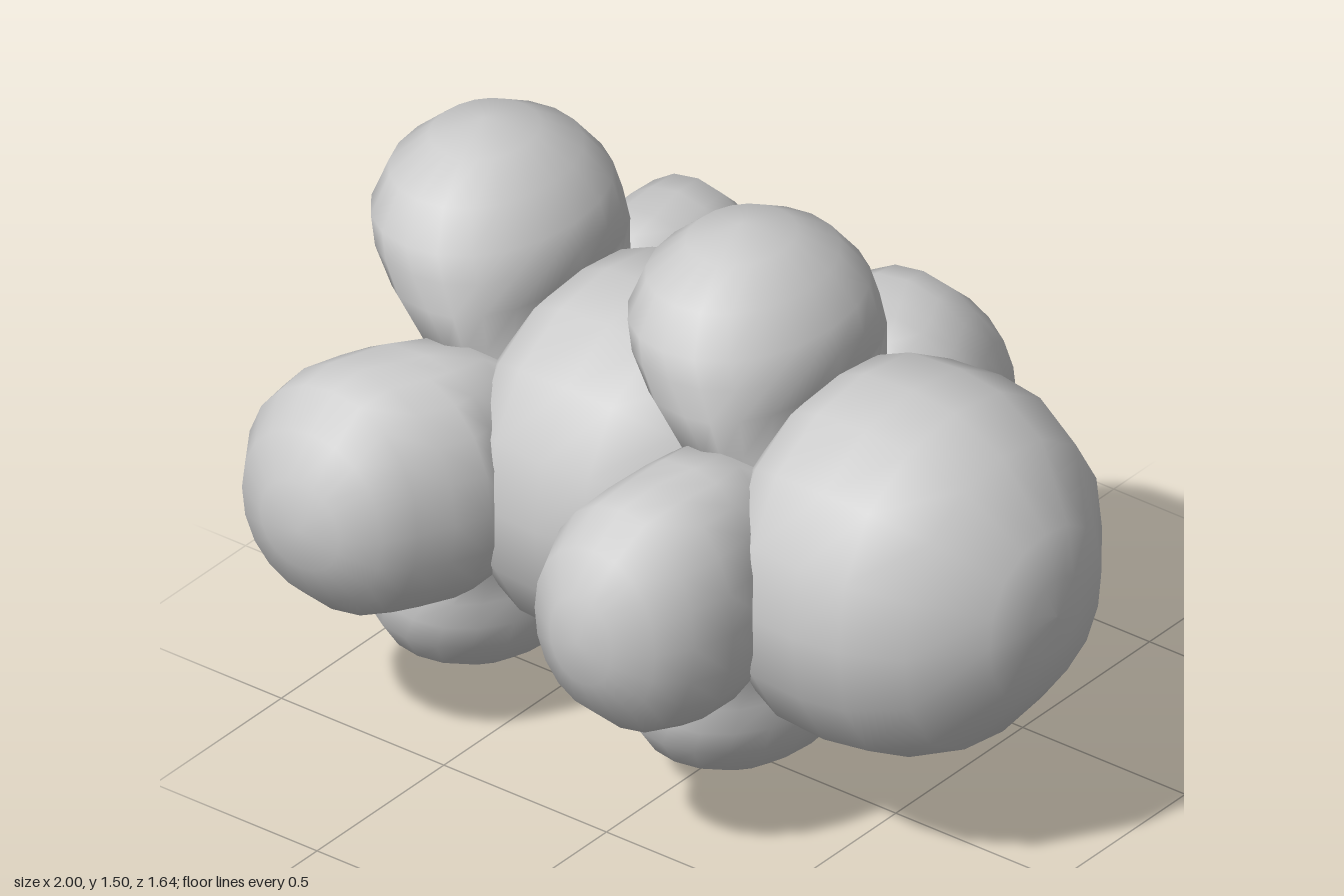
import * as THREE from 'three';

const material = new THREE.MeshStandardMaterial({ color: 0xcccccc });
const SIDES = 20;

// Lobe growing along +y, from rows of [height, min x, max x, half depth]; the last row is the tip.
// The -x side is boxy at the neck and becomes round towards the head.
function lobeGeometry(rows) {
  const positions = [], index = [];
  for (const [y, x0, x1, w] of rows) {
    const boxy = THREE.MathUtils.clamp(2.8 * y - 0.55, 0.4, 0.95);
    for (let i = 0; i < SIDES; i++) {
      const a = (i / SIDES) * Math.PI * 2;
      const power = Math.cos(a) < 0 ? boxy : 0.95;
      const curve = (v) => Math.sign(v) * Math.abs(v) ** power;
      positions.push((x0 + x1) / 2 + ((x1 - x0) / 2) * curve(Math.cos(a)), y, w * curve(Math.sin(a)));
    }
  }
  for (let k = 0; k < rows.length - 1; k++) {
    for (let i = 0; i < SIDES; i++) {
      const j = (i + 1) % SIDES;
      const a = k * SIDES + i, b = k * SIDES + j, c = a + SIDES, d = b + SIDES;
      index.push(a, c, b);
      if (k < rows.length - 2) index.push(b, c, d);
    }
  }
  const geometry = new THREE.BufferGeometry();
  geometry.setAttribute('position', new THREE.Float32BufferAttribute(positions, 3));
  geometry.setIndex(index);
  geometry.computeVertexNormals();
  // Smooth tip
  for (let i = 0; i < SIDES; i++) {
    geometry.attributes.normal.setXYZ((rows.length - 1) * SIDES + i, 0, 1, 0);
  }
  return geometry;
}

// Upright lobe, used above and below
const uprightLobe = lobeGeometry([
  [0.15, -0.56, -0.38, 0.2], [0.31, -0.73, -0.49, 0.345], [0.41, -0.86, -0.465, 0.355],
  [0.49, -0.96, -0.465, 0.35], [0.56, -1.0, -0.485, 0.34], [0.65, -0.97, -0.55, 0.27],
  [0.72, -0.89, -0.64, 0.15], [0.75, -0.77, -0.77, 0],
]);

// Side lobe with the stronger lean
const leaningLobe = lobeGeometry([
  [0.15, -0.55, -0.36, 0.2], [0.32, -0.72, -0.41, 0.33], [0.42, -0.86, -0.375, 0.335],
  [0.48, -0.93, -0.37, 0.335], [0.57, -0.99, -0.41, 0.335], [0.66, -0.985, -0.455, 0.31],
  [0.745, -0.93, -0.5, 0.23], [0.8, -0.83, -0.59, 0.12], [0.82, -0.7, -0.7, 0],
]);

// Side lobe with the slighter lean
const straightLobe = lobeGeometry([
  [0.15, -0.6, -0.37, 0.2], [0.33, -0.72, -0.41, 0.33], [0.43, -0.78, -0.37, 0.335],
  [0.55, -0.84, -0.36, 0.335], [0.66, -0.85, -0.395, 0.31], [0.745, -0.82, -0.45, 0.23],
  [0.8, -0.73, -0.54, 0.12], [0.815, -0.64, -0.64, 0],
]);

// Round body, flattened at its -x end: [radius, distance along x]
const bodyProfile = [
  [0, -0.32], [0.2, -0.32], [0.35, -0.3], [0.43, -0.235], [0.465, -0.15], [0.475, 0],
  [0.46, 0.13], [0.39, 0.28], [0.22, 0.41], [0.1, 0.44], [0, 0.447],
].map(([r, x]) => new THREE.Vector2(r, x));
const bodyGeometry = new THREE.LatheGeometry(bodyProfile, 16);
bodyGeometry.rotateZ(-Math.PI / 2);
bodyGeometry.translate(-0.24, 0, 0);

// Slightly squarer round the x axis
const bodyPoints = bodyGeometry.attributes.position;
for (let i = 0; i < bodyPoints.count; i++) {
  const y = bodyPoints.getY(i), z = bodyPoints.getZ(i);
  const swell = 1 + 0.04 * Math.sin(2 * Math.atan2(z, y)) ** 2;
  bodyPoints.setXYZ(i, bodyPoints.getX(i), y * swell, z * swell);
}

function addMesh(group, name, geometry, turn = 0) {
  const mesh = new THREE.Mesh(geometry, material);
  mesh.name = name;
  mesh.rotation.x = turn;
  group.add(mesh);
}

// One body with its ring of four lobes
function createSegment(name) {
  const segment = new THREE.Group();
  segment.name = name;
  addMesh(segment, 'body', bodyGeometry);
  addMesh(segment, 'upperLobe', uprightLobe);
  addMesh(segment, 'lowerLobe', uprightLobe, Math.PI);
  addMesh(segment, 'leaningSideLobe', leaningLobe, Math.PI / 2);
  addMesh(segment, 'straightSideLobe', straightLobe, -Math.PI / 2);
  return segment;
}

export function createModel() {
  const model = new THREE.Group();
  model.name = 'lobedCluster';

  // Two equal segments in a row, the second turned half way round
  ['rightSegment', 'leftSegment'].forEach((name, i) => {
    const segment = createSegment(name);
    segment.position.set(i * 0.79, 0.752, 0);
    segment.rotation.x = i * Math.PI;
    model.add(segment);
  });
  return model;
}
